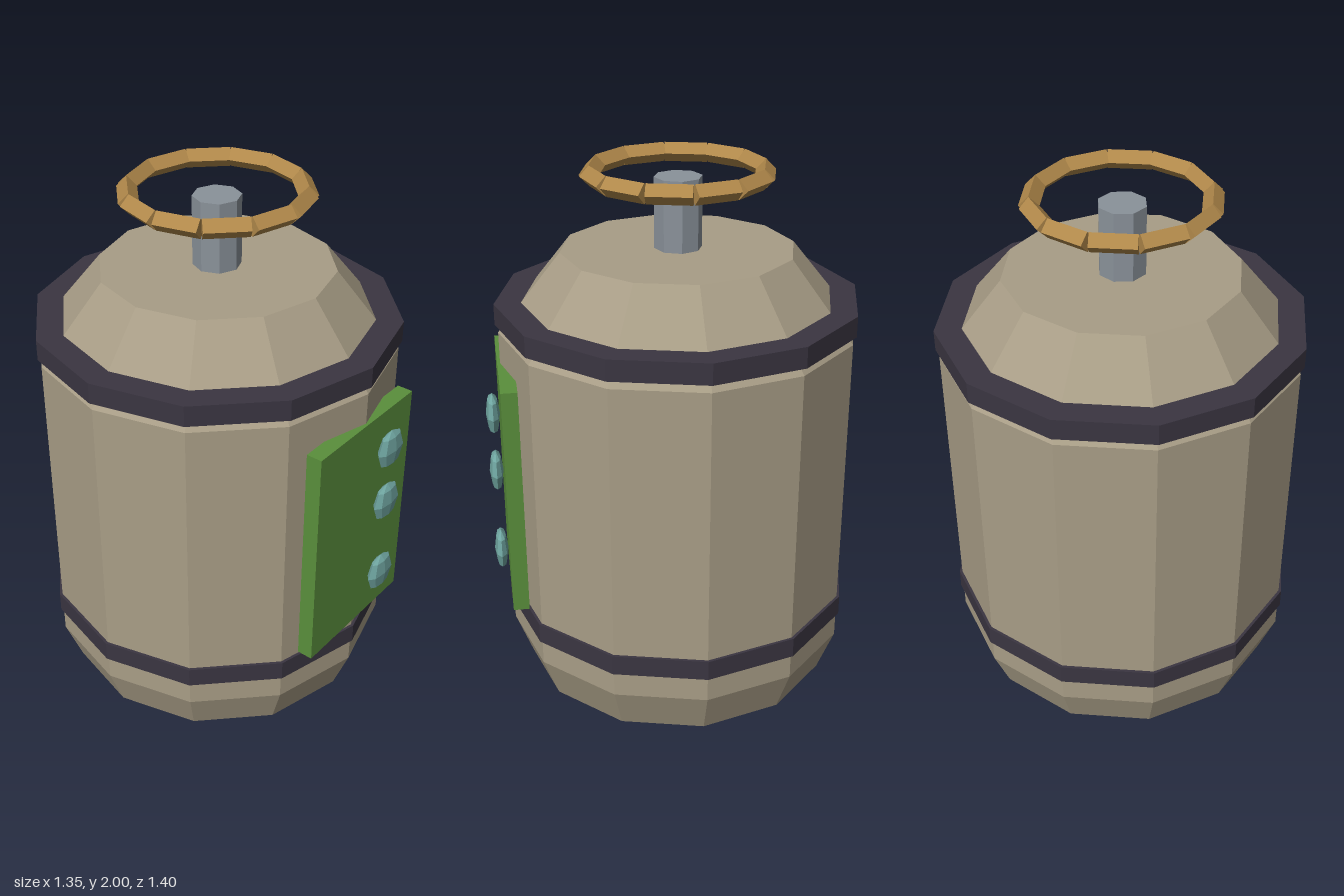
import * as THREE from 'three';

const AXIS_Z = -0.026; // centre line of the tank
const SIDES = 12;

const mat = (color) => new THREE.MeshStandardMaterial({ color, flatShading: true });

export function createModel() {
  const model = new THREE.Group();
  model.name = 'gasTank';
  const tan = mat(0xa89d86), dark = mat(0x3a3541), green = mat(0x5a8f3c);
  const teal = mat(0x6fa5a0), brass = mat(0xb0884a), steel = mat(0x8a929a);

  const add = (name, geometry, material, x, y, z, parent = model) => {
    const mesh = new THREE.Mesh(geometry, material);
    mesh.name = name;
    mesh.position.set(x, y, z);
    parent.add(mesh);
    return mesh;
  };

  // Twelve-sided body with tapered base and shoulder
  const profile = [[0, 0], [0.6, 0], [0.664, 0.17], [0.664, 1.4], [0.43, 1.69], [0, 1.69]]
    .map(([r, y]) => new THREE.Vector2(r, y));
  add('body', new THREE.LatheGeometry(profile, SIDES), tan, 0, 0, AXIS_Z);

  // Bands around the body
  for (const [name, y] of [['lowerBand', 0.308], ['upperBand', 1.47]]) {
    add(name, new THREE.CylinderGeometry(0.675, 0.675, 0.078, SIDES), dark, 0, y, AXIS_Z);
  }

  // Valve stem
  add('valveStem', new THREE.CylinderGeometry(0.088, 0.088, 0.28, 8), steel, 0, 1.81, AXIS_Z);

  // Hand wheel made of separate diamond-section bars
  const wheel = new THREE.Group();
  wheel.name = 'handWheel';
  wheel.position.set(0, 1.964, AXIS_Z);
  model.add(wheel);
  const bar = new THREE.BoxGeometry(0.16, 0.051, 0.051).rotateX(Math.PI / 4);
  for (let i = 0; i < 12; i++) {
    const a = (i + 0.5) * Math.PI / 6;
    const m = add('wheelBar', bar, brass, 0.307 * Math.sin(a), 0, 0.307 * Math.cos(a), wheel);
    m.rotation.y = a;
  }

  // Front panel with three flattened buttons
  add('frontPanel', new THREE.BoxGeometry(0.565, 0.895, 0.06), green, 0, 0.832, 0.619);
  const button = new THREE.SphereGeometry(0.078, 8, 4).scale(1, 1, 0.33);
  for (const y of [1.132, 0.9, 0.566]) add('button', button, teal, 0.115, y, 0.677);

  return model;
}
